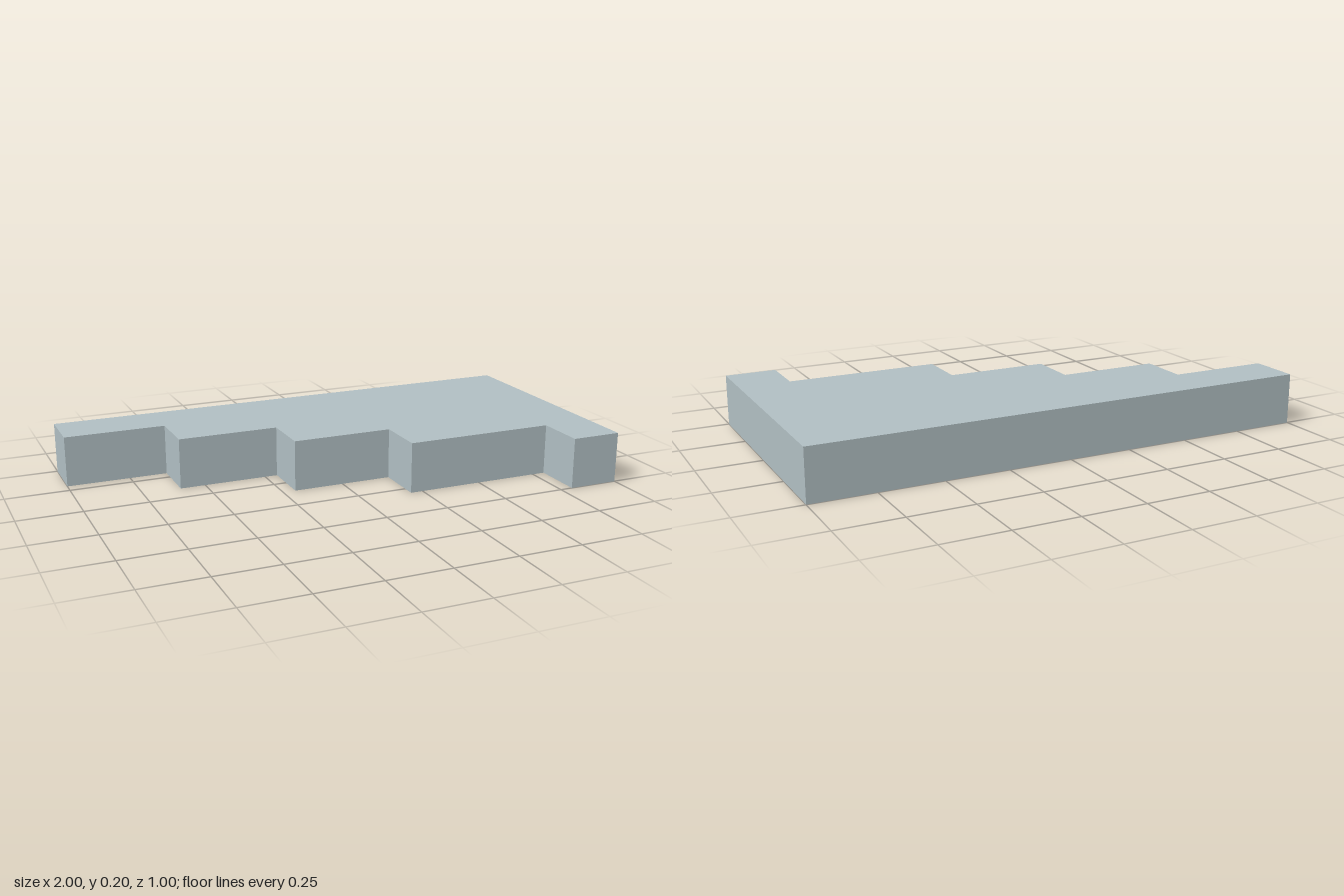
import * as THREE from 'three';

export function createModel() {
  const group = new THREE.Group();
  group.name = 'steppedSlab';
  const blueGrey = new THREE.MeshStandardMaterial({ color: 0xb0bec2 });
  blueGrey.name = 'blueGrey';

  // Stepped front edge: each step runs to x at depth z
  const steps = [[-0.6, -0.3], [-0.2, -0.1], [0.2, 0.1], [0.8, 0.3], [1, 0.5]];
  const outline = new THREE.Shape();
  outline.moveTo(-1, 0.5);
  let x = -1;
  for (const [endX, z] of steps) {
    outline.lineTo(x, -z);
    outline.lineTo(endX, -z);
    x = endX;
  }
  outline.lineTo(1, 0.5);
  outline.closePath();

  // Slab laid flat on the ground
  const geometry = new THREE.ExtrudeGeometry(outline, { depth: 0.2, bevelEnabled: false });
  geometry.rotateX(-Math.PI / 2);
  const slab = new THREE.Mesh(geometry, blueGrey);
  slab.name = 'slab';
  group.add(slab);
  return group;
}
